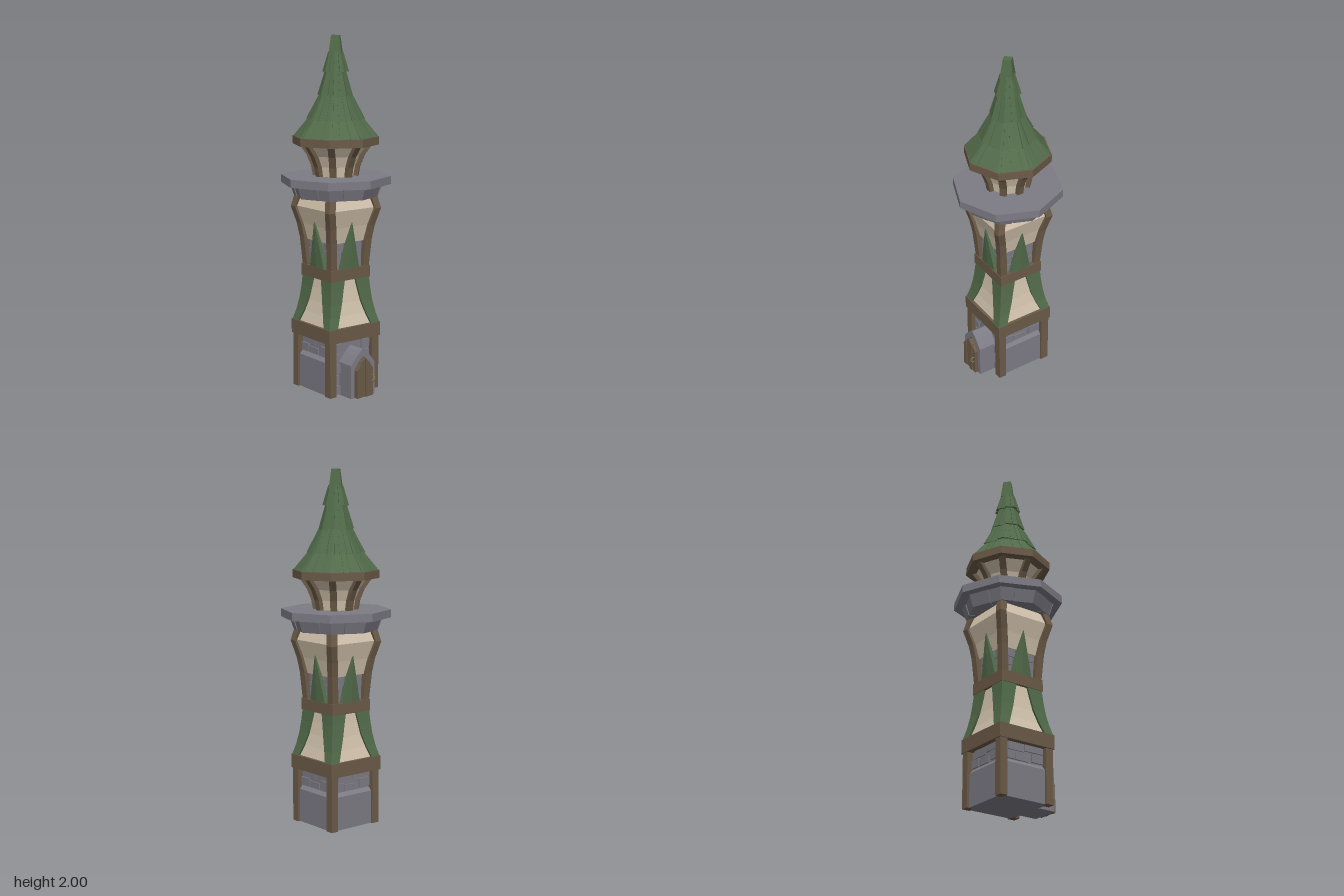
import * as THREE from 'three';
import { mergeGeometries } from 'three/addons/utils/BufferGeometryUtils.js';

function makeMaterial(name, color) {
  const m = new THREE.MeshStandardMaterial({ color, flatShading: true });
  m.name = name;
  return m;
}

// Closed solid through rings of [x, y, z]; rings run counter-clockwise seen from above
function loft(rings) {
  const pos = [];
  const tri = (a, b, c) => pos.push(...a, ...b, ...c);
  const n = rings[0].length;
  for (let j = 0; j < rings.length - 1; j++) {
    for (let i = 0; i < n; i++) {
      const k = (i + 1) % n, lo = rings[j], hi = rings[j + 1];
      tri(lo[i], lo[k], hi[k]);
      tri(lo[i], hi[k], hi[i]);
    }
  }
  const first = rings[0], last = rings[rings.length - 1];
  for (let i = 1; i < n - 1; i++) {
    tri(first[0], first[i + 1], first[i]);
    tri(last[0], last[i], last[i + 1]);
  }
  const g = new THREE.BufferGeometry();
  g.setAttribute('position', new THREE.Float32BufferAttribute(pos, 3));
  g.computeVertexNormals();
  return g;
}

const rect = (x0, x1, y, z0, z1) => [[x0, y, z1], [x1, y, z1], [x1, y, z0], [x0, y, z0]];
const box = (x0, x1, y0, y1, z0, z1) => loft([rect(x0, x1, y0, z0, z1), rect(x0, x1, y1, z0, z1)]);
const square = (h, y) => rect(-h, h, y, -h, h);
const corner = (r, y, k, n = 8) => [r * Math.sin(k * 2 * Math.PI / n), y, r * Math.cos(k * 2 * Math.PI / n)];
const polygon = (r, y, n = 8) => Array.from({ length: n }, (_, k) => corner(r, y, k, n));

// Slab covering part u0..u1 of one face of a tapering n-sided tower
function tile(n, k, u0, u1, r0, y0, r1, y1, thick) {
  const at = (r, y, u) => {
    const a = corner(r, y, k, n), b = corner(r, y, k + 1, n);
    return a.map((v, i) => v + (b[i] - v) * u);
  };
  const ring = (r, y) => [at(r, y, u0), at(r, y, u1), at(r - thick, y, u1), at(r - thick, y, u0)];
  return loft([ring(r0, y0), ring(r1, y1)]);
}

// Copies of geometries around the vertical axis
function around(n, geos) {
  const out = [];
  for (let k = 0; k < n; k++) for (const g of geos) out.push(g.clone().rotateY(k * 2 * Math.PI / n));
  return out;
}

function extrude(points, depth, z, hole) {
  const shape = new THREE.Shape(points.map(p => new THREE.Vector2(...p)));
  if (hole) shape.holes.push(new THREE.Path(hole.map(p => new THREE.Vector2(...p))));
  return new THREE.ExtrudeGeometry(shape, { depth, bevelEnabled: false }).translate(0, 0, z);
}

// Small seeded generator for uneven shingles
let seed = 7;
const rand = () => ((seed = (seed * 16807) % 2147483647) / 2147483647);

export function createModel() {
  seed = 7;
  const model = new THREE.Group();
  model.name = 'watchtower';
  const stone = makeMaterial('grey stone', 0x7d7b84);
  const cream = makeMaterial('cream plaster', 0xd4c5af);
  const green = makeMaterial('green shingles', 0x526b4a);
  const wood = makeMaterial('brown timber', 0x6c5b48);
  const brass = makeMaterial('dull brass', 0x85794e);
  const add = (name, material, geos) => {
    const mesh = new THREE.Mesh(geos.length > 1 ? mergeGeometries(geos) : geos[0], material);
    mesh.name = name;
    model.add(mesh);
  };

  // Stone base: core, sloped plinths on three sides, raised bricks
  add('baseWall', stone, [loft([square(0.14, 0), square(0.14, 0.32)])]);
  const plinth = loft([rect(-0.127, 0.127, 0, 0.1, 0.16), rect(-0.127, 0.127, 0.19, 0.1, 0.16),
    rect(-0.127, 0.127, 0.21, 0.1, 0.142)]);
  add('basePlinths', stone, [1, 2, 3].map(k => plinth.clone().rotateY(k * Math.PI / 2)));
  const sideBricks = [box(-0.125, -0.06, 0.215, 0.262, 0.13, 0.149), box(-0.056, 0.03, 0.215, 0.25, 0.13, 0.147),
    box(0.05, 0.125, 0.22, 0.27, 0.13, 0.149), box(-0.1, 0.0, 0.266, 0.31, 0.13, 0.147),
    box(0.005, 0.125, 0.274, 0.31, 0.13, 0.148)];
  add('sideBricks', stone, [1, 2, 3].flatMap(k => sideBricks.map(g => g.clone().rotateY(k * Math.PI / 2))));
  const frontBricks = [];
  for (let row = 0; row < 5; row++) {
    const w = row % 2 ? 0.035 : 0.055;
    for (const s of [-1, 1]) {
      const a = s * 0.125, b = s * (0.125 - w);
      frontBricks.push(box(Math.min(a, b), Math.max(a, b), row * 0.06 + 0.004, row * 0.06 + 0.056, 0.13, 0.151));
    }
  }
  add('frontBricks', stone, frontBricks);
  add('basePosts', wood, around(4, [box(0.127, 0.175, 0, 0.32, 0.127, 0.172)]));

  // Pointed stone porch, plank door and ring handle
  const archTop = (x, half, apex, drop) => apex - drop * Math.pow(Math.abs(x) / half, 1.35);
  const arch = (half, apex, drop) => {
    const pts = [[-half, 0], [half, 0]];
    for (let i = 4; i >= -4; i--) pts.push([half * i / 4, archTop(half * i / 4, half, apex, drop)]);
    return pts;
  };
  add('porchArch', stone, [extrude(arch(0.083, 0.275, 0.085), 0.11, 0.14, arch(0.06, 0.232, 0.07).map(([x, y]) => [x, y + 0.001]))]);
  const planks = [];
  for (let i = 0; i < 4; i++) {
    const x0 = -0.058 + i * 0.0295, x1 = x0 + 0.0275;
    const top = x => archTop(x, 0.06, 0.228, 0.07);
    planks.push(extrude([[x0, 0.004], [x1, 0.004], [x1, top(x1)], [x0, top(x0)]], 0.035, i % 2 ? 0.235 : 0.24));
  }
  add('doorPlanks', wood, planks);
  add('doorBacking', wood, [extrude(arch(0.06, 0.231, 0.07), 0.05, 0.2)]);
  add('doorHandle', brass, [new THREE.TorusGeometry(0.017, 0.003, 5, 10).rotateY(Math.PI / 2).translate(0.05, 0.105, 0.278)]);

  // Timber belts
  add('lowerBelt', wood, [loft([square(0.18, 0.31), square(0.18, 0.39)])]);
  add('upperBelt', wood, [loft([square(0.138, 0.65), square(0.138, 0.715)])]);

  // Flared skirt: plaster core with green shingled corners [y, half width, plaster half width]
  const skirt = [[0.39, 0.176, 0.118], [0.45, 0.16, 0.093], [0.52, 0.147, 0.068], [0.59, 0.139, 0.052], [0.65, 0.134, 0.038]];
  add('skirtPlaster', cream, [loft(skirt.map(([y, h]) => square(h - 0.012, y)))]);
  add('skirtCorners', green, around(4, [loft(skirt.map(([y, h, c]) => {
    const t = h - 0.03;
    return [[t, y, t], [c, y, t], [c, y, h], [h, y, h], [h, y, c], [t, y, c]];
  }))]));

  // Upper shaft: stone, outward curving plaster, corner posts and green spikes
  add('shaftStone', stone, [loft([square(0.108, 0.7), square(0.108, 0.88)])]);
  const shaftBricks = [];
  for (let row = 0; row < 3; row++) {
    for (let i = 0; i < 3; i++) {
      const x = -0.09 + i * 0.062 - (row % 2) * 0.018;
      shaftBricks.push(box(x, x + 0.057, 0.718 + row * 0.049, 0.762 + row * 0.049, 0.1, 0.114 + (i % 2) * 0.003));
    }
  }
  add('shaftBricks', stone, around(4, shaftBricks));
  add('shaftPlaster', cream, [loft([[0.86, 0.122], [0.95, 0.14], [1.05, 0.168], [1.115, 0.145]].map(([y, h]) => square(h, y)))]);
  add('shaftPosts', wood, around(4, [loft([[0.71, 0.133], [0.87, 0.145], [0.95, 0.157], [1.045, 0.181], [1.115, 0.165]]
    .map(([y, h]) => rect(h - 0.042, h, y, h - 0.042, h)))]));
  add('shaftSpikes', green, around(4, [loft([
    [[-0.066, 0.715, 0.11], [-0.064, 0.715, 0.133], [0, 0.715, 0.139], [0.064, 0.715, 0.133], [0.066, 0.715, 0.11]],
    [[-0.001, 0.975, 0.13], [-0.001, 0.975, 0.151], [0, 0.975, 0.152], [0.001, 0.975, 0.151], [0.001, 0.975, 0.13]]])]));

  // Octagonal balcony on a course of corbel blocks
  add('balconyFloor', stone, [loft([polygon(0.31, 1.18), polygon(0.31, 1.225)])]);
  add('balconyCore', stone, [loft([polygon(0.222, 1.115), polygon(0.25, 1.185)])]);
  const corbels = [];
  for (let k = 0; k < 8; k++) {
    const split = k % 2 ? 0.4 : 0.62;
    corbels.push(tile(8, k, 0.0, split - 0.012, 0.238, 1.11, 0.263, 1.182, 0.04));
    corbels.push(tile(8, k, split + 0.012, 1.0, 0.234, 1.11, 0.258, 1.182, 0.04));
  }
  add('balconyCorbels', stone, corbels);

  // Lantern room with flaring posts
  add('lanternPlaster', cream, [loft([[1.22, 0.108], [1.28, 0.118], [1.34, 0.142], [1.405, 0.19]].map(([y, r]) => polygon(r, y)))]);
  add('lanternPosts', wood, around(8, [loft([[1.22, 0.126], [1.28, 0.137], [1.34, 0.162], [1.405, 0.208]]
    .map(([y, r]) => rect(-0.018, 0.018, y, r - 0.04, r)))]));
  add('eavesBand', wood, [loft([polygon(0.243, 1.4), polygon(0.243, 1.445)])]);

  // Tiered roof: smooth core, uneven shingles and ridge caps [bottom r, bottom y, top r, top y]
  const tiers = [[0.236, 1.445, 0.148, 1.55], [0.163, 1.54, 0.088, 1.68], [0.1, 1.67, 0.058, 1.81], [0.073, 1.8, 0.041, 1.91]];
  const core = [], shingles = [], ridges = [];
  tiers.forEach(([r0, y0, r1, y1], t) => {
    core.push(loft([polygon(r0 - 0.005, y0 + 0.003), polygon(r1 - 0.003, y1)]));
    const count = t < 2 ? 3 : 2;
    for (let k = 0; k < 8; k++) {
      let u = 0;
      for (let i = 0; i < count; i++) {
        const end = i === count - 1 ? 1 : (i + 1) / count + (rand() - 0.5) * 0.16;
        const lift = (rand() - 0.5) * 0.006;
        shingles.push(tile(8, k, u, end - 0.015, r0 + lift, y0 + (t ? lift * 1.5 : 0), r1 + lift * 0.5, y1, 0.012));
        u = end + 0.015;
      }
      if (t < 2) {
        const w = 0.01, ridge = loft([rect(-w, w, y0, r0 - 0.02, r0 + 0.001), rect(-0.002, 0.002, y1, r1 - 0.02, r1 + 0.003)]);
        ridges.push(ridge.rotateY(k * Math.PI / 4));
      }
    }
  });
  add('roofCore', green, core);
  add('roofShingles', green, shingles);
  add('roofRidges', green, ridges);
  add('roofTip', green, [loft([polygon(0.051, 1.895, 4), polygon(0.032, 2, 4)])]);

  return model;
}
